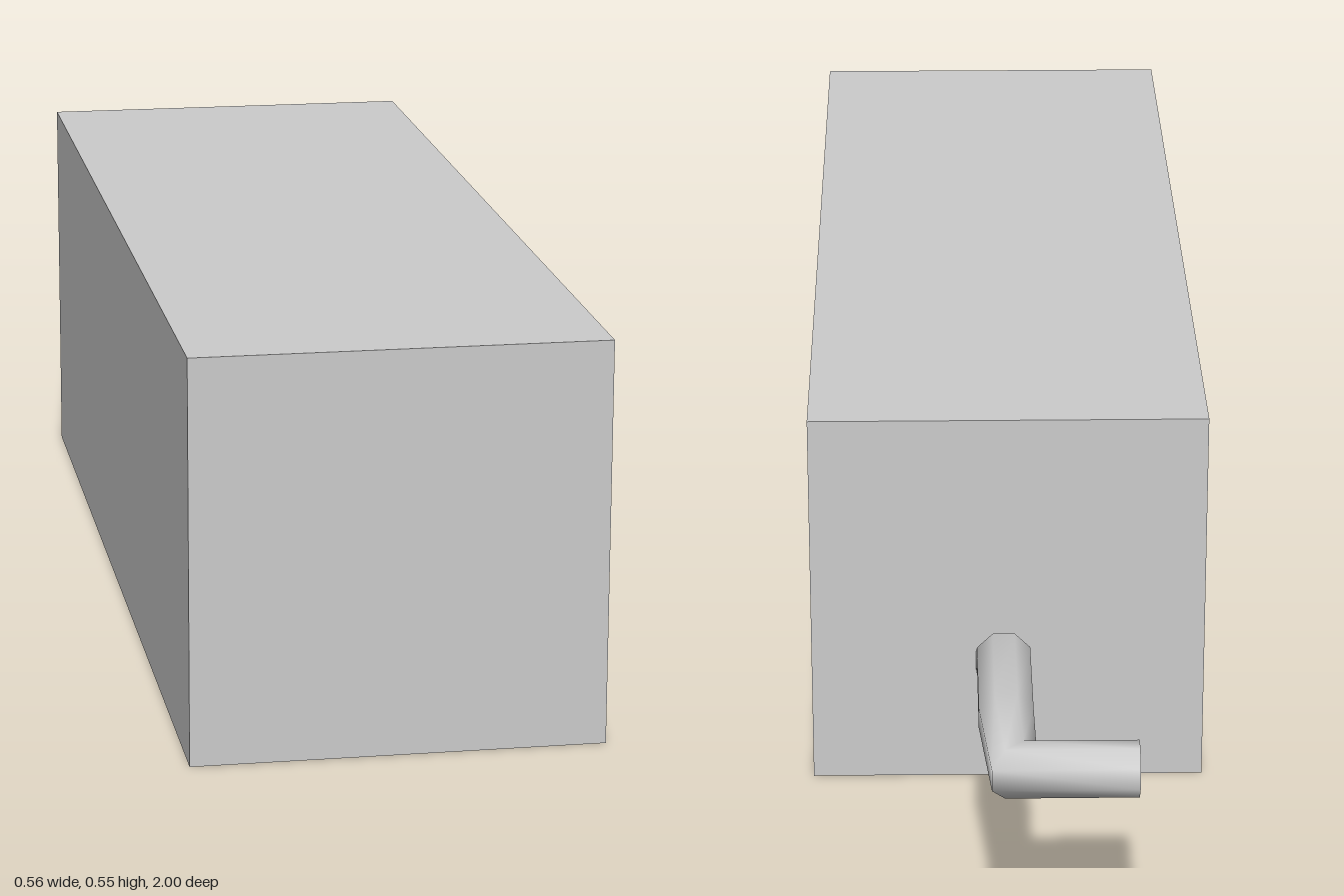
import * as THREE from 'three';

const SIDES = 8;

// One elliptical section of the handle: centre c, half-axes a and b
function ringPoints({ c, a, b }) {
  const points = [];
  const scale = 1 / Math.cos(Math.PI / SIDES);
  for (let j = 0; j < SIDES; j++) {
    const t = ((j + 0.5) / SIDES) * Math.PI * 2;
    const u = Math.cos(t) * scale, v = Math.sin(t) * scale;
    for (let k = 0; k < 3; k++) points.push(c[k] + a[k] * u + b[k] * v);
  }
  return points;
}

// Skin over the sections, with a flat cap on the far end
function skin(sections) {
  const positions = sections.flatMap(ringPoints);
  const index = [];
  for (let i = 0; i < sections.length - 1; i++) {
    for (let j = 0; j < SIDES; j++) {
      const p = i * SIDES + j, q = i * SIDES + ((j + 1) % SIDES);
      index.push(p, p + SIDES, q, q, p + SIDES, q + SIDES);
    }
  }
  const last = sections[sections.length - 1];
  const capStart = positions.length / 3;
  positions.push(...ringPoints(last), ...last.c);
  for (let j = 0; j < SIDES; j++) {
    index.push(capStart + SIDES, capStart + ((j + 1) % SIDES), capStart + j);
  }
  const geometry = new THREE.BufferGeometry();
  geometry.setAttribute('position', new THREE.Float32BufferAttribute(positions, 3));
  geometry.setIndex(index);
  geometry.computeVertexNormals();
  return geometry;
}

export function createModel() {
  const model = new THREE.Group();
  const material = new THREE.MeshStandardMaterial({ color: 0xcccccc });

  // Long plain block
  const body = new THREE.Mesh(new THREE.BoxGeometry(0.556, 0.552, 1.542), material);
  body.name = 'body';
  body.position.set(0, 0.276, 0.229);
  model.add(body);

  // Bent crank handle at the back: rises, runs straight back, then turns right
  const handle = new THREE.Mesh(skin([
    { c: [0.008, 0.18, -0.541], a: [0.037, 0, 0], b: [0, 0.039, 0] },
    { c: [0.008, 0.235, -0.637], a: [0.037, 0, 0], b: [0, 0.036, 0] },
    { c: [0.008, 0.235, -0.82], a: [0.037, 0, 0], b: [0, 0.036, 0] },
    { c: [0, 0.235, -0.969], a: [0.03, 0, -0.031], b: [0, 0.036, 0] },
    { c: [-0.165, 0.235, -0.969], a: [0, 0, -0.031], b: [0, 0.036, 0] },
  ]), material);
  handle.name = 'crankHandle';
  model.add(handle);

  return model;
}
